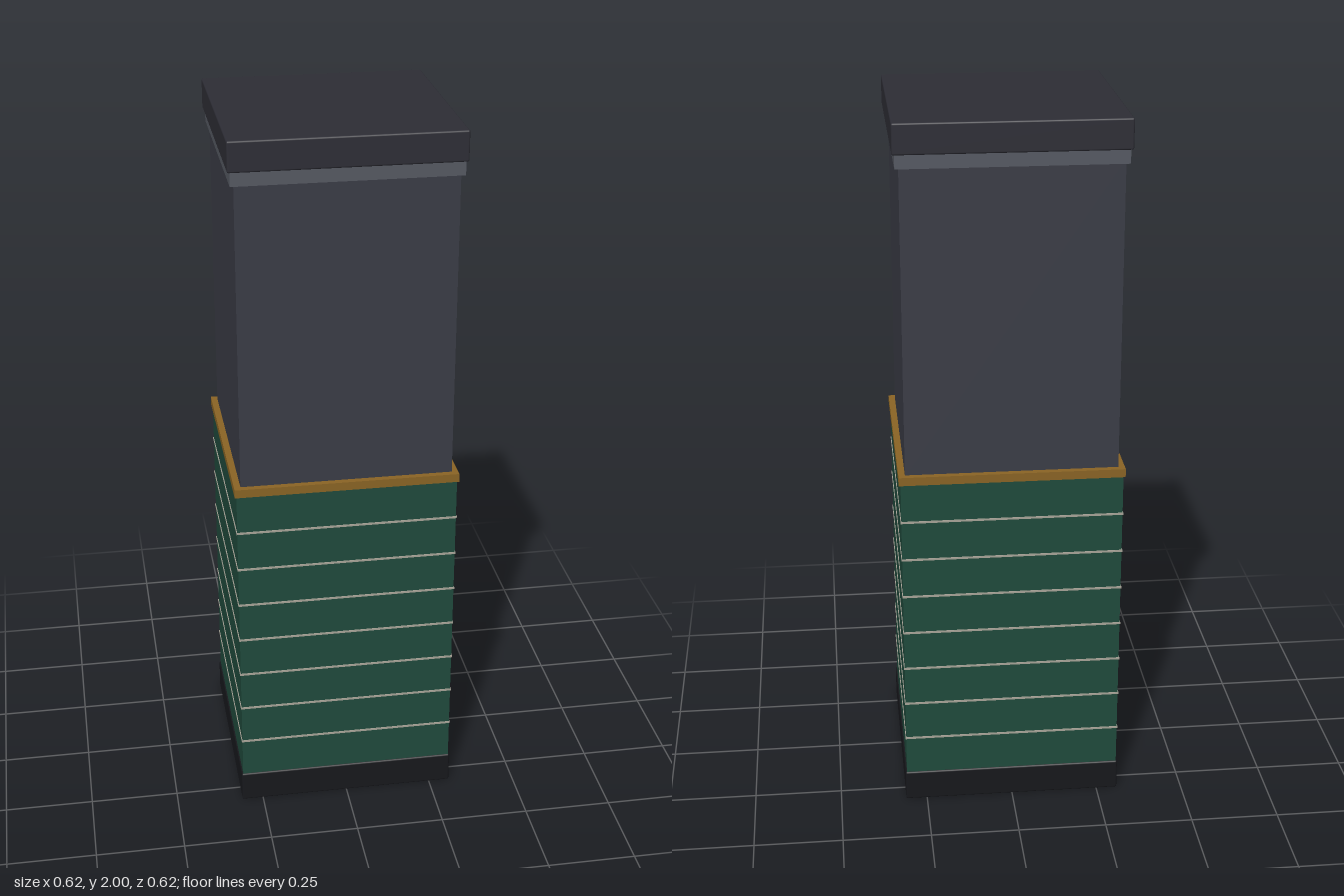
import * as THREE from 'three';
import { RoundedBoxGeometry } from 'three/addons/geometries/RoundedBoxGeometry.js';

export function createModel() {
  const model = new THREE.Group();
  model.name = 'tiledColumn';

  const mat = (color) => new THREE.MeshStandardMaterial({ color });
  const add = (name, geometry, material, y) => {
    const mesh = new THREE.Mesh(geometry, material);
    mesh.name = name;
    mesh.position.y = y;
    model.add(mesh);
  };

  // Square slab of the given width between two heights, optionally with softened edges
  const slab = (name, width, y0, y1, material, radius = 0) => {
    const h = y1 - y0;
    const geometry = radius
      ? new RoundedBoxGeometry(width, h, width, 2, radius)
      : new THREE.BoxGeometry(width, h, width);
    add(name, geometry, material, (y0 + y1) / 2);
  };

  // Plinth and tiled lower half
  const tileBottom = 0.085, tileTop = 1.005, rows = 8;
  slab('plinth', 0.622, 0, 0.09, mat(0x17181c), 0.005);
  slab('tiledLowerShaft', 0.614, tileBottom, tileTop, mat(0x1f4a3c));

  // Thin grout joints standing just proud of the tiles
  const grout = mat(0xa8a498);
  for (let i = 1; i < rows; i++) {
    const y = tileBottom + 0.005 + (i * (tileTop - tileBottom - 0.005)) / rows;
    slab(`groutLine${i}`, 0.618, y - 0.003, y + 0.003, grout);
  }

  // Brass trim, plain upper shaft, neck moulding and cap
  slab('brassTrim', 0.624, 1.003, 1.027, mat(0x8a6424));
  slab('upperShaft', 0.588, 1.02, 1.89, mat(0x3a3c46));
  slab('neckMoulding', 0.608, 1.88, 1.925, mat(0x555962));
  slab('cap', 0.622, 1.917, 2, mat(0x2d2d35), 0.005);

  return model;
}
